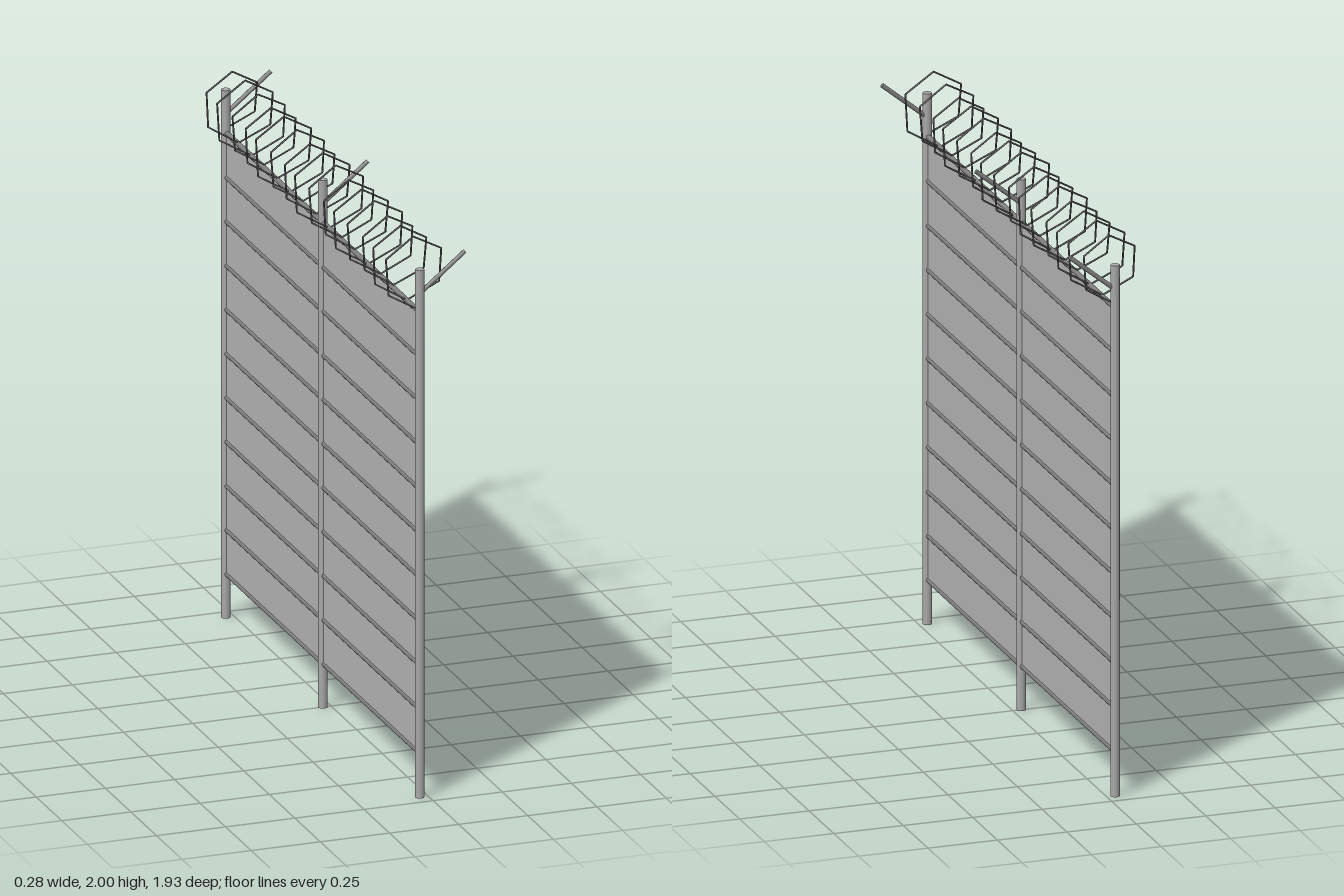
import * as THREE from 'three';
import { mergeGeometries } from 'three/addons/utils/BufferGeometryUtils.js';

const FENCE_X = -0.03;
const HALF = 0.95;

const flat = (name, color) => {
  const m = new THREE.MeshStandardMaterial({ color });
  m.name = name;
  return m;
};

// Round bar between two points
function bar(a, b, radius, sides) {
  const dir = b.clone().sub(a);
  const g = new THREE.CylinderGeometry(radius, radius, dir.length(), sides);
  const q = new THREE.Quaternion().setFromUnitVectors(new THREE.Vector3(0, 1, 0), dir.normalize());
  g.applyQuaternion(q);
  const mid = a.clone().add(b).multiplyScalar(0.5);
  return g.translate(mid.x, mid.y, mid.z);
}

export function createModel() {
  const group = new THREE.Group();
  group.name = 'securityFence';
  const postGrey = flat('postGrey', 0xa8a8a8);
  const panelGrey = flat('panelGrey', 0xb4b4b4);
  const railGrey = flat('railGrey', 0x808080);
  const wireGrey = flat('wireGrey', 0x606060);

  const add = (name, geometry, material) => {
    const mesh = new THREE.Mesh(geometry, material);
    mesh.name = name;
    group.add(mesh);
  };
  const v = (x, y, z) => new THREE.Vector3(x, y, z);

  // Posts, each with a slanted arm reaching outwards
  for (const z of [-HALF, 0, HALF]) {
    add('post', bar(v(FENCE_X, 0, z), v(FENCE_X, 1.905, z), 0.016, 10), postGrey);
    add('slantedArm', bar(v(FENCE_X, 1.817, z), v(0.133, 1.95, z), 0.008, 8), railGrey);
  }

  // Two panels between the posts
  for (const side of [-1, 1]) {
    const panel = new THREE.BoxGeometry(0.006, 1.59, HALF);
    add('panel', panel.translate(FENCE_X, 0.955, side * HALF / 2), panelGrey);
  }

  // Evenly spaced horizontal rails
  for (let i = 0; i < 11; i++) {
    const y = 0.16 + i * 0.159;
    add('rail', bar(v(FENCE_X, y, -HALF), v(FENCE_X, y, HALF), 0.009, 8), railGrey);
  }

  // Wire coil: fifteen six-sided turns with slightly uneven radius
  const turns = 15, steps = turns * 6;
  const points = [];
  for (let i = 0; i <= steps; i++) {
    const a = -Math.PI / 2 - i * Math.PI / 3;
    const r = 0.119 + 0.007 * Math.sin(i * 12.9);
    points.push(v(FENCE_X + r * Math.cos(a), 1.876 + r * Math.sin(a), HALF - 2 * HALF * i / steps));
  }
  const strands = points.slice(1).map((p, i) => bar(points[i], p, 0.0032, 6));
  add('wireCoil', mergeGeometries(strands), wireGrey);

  return group;
}
